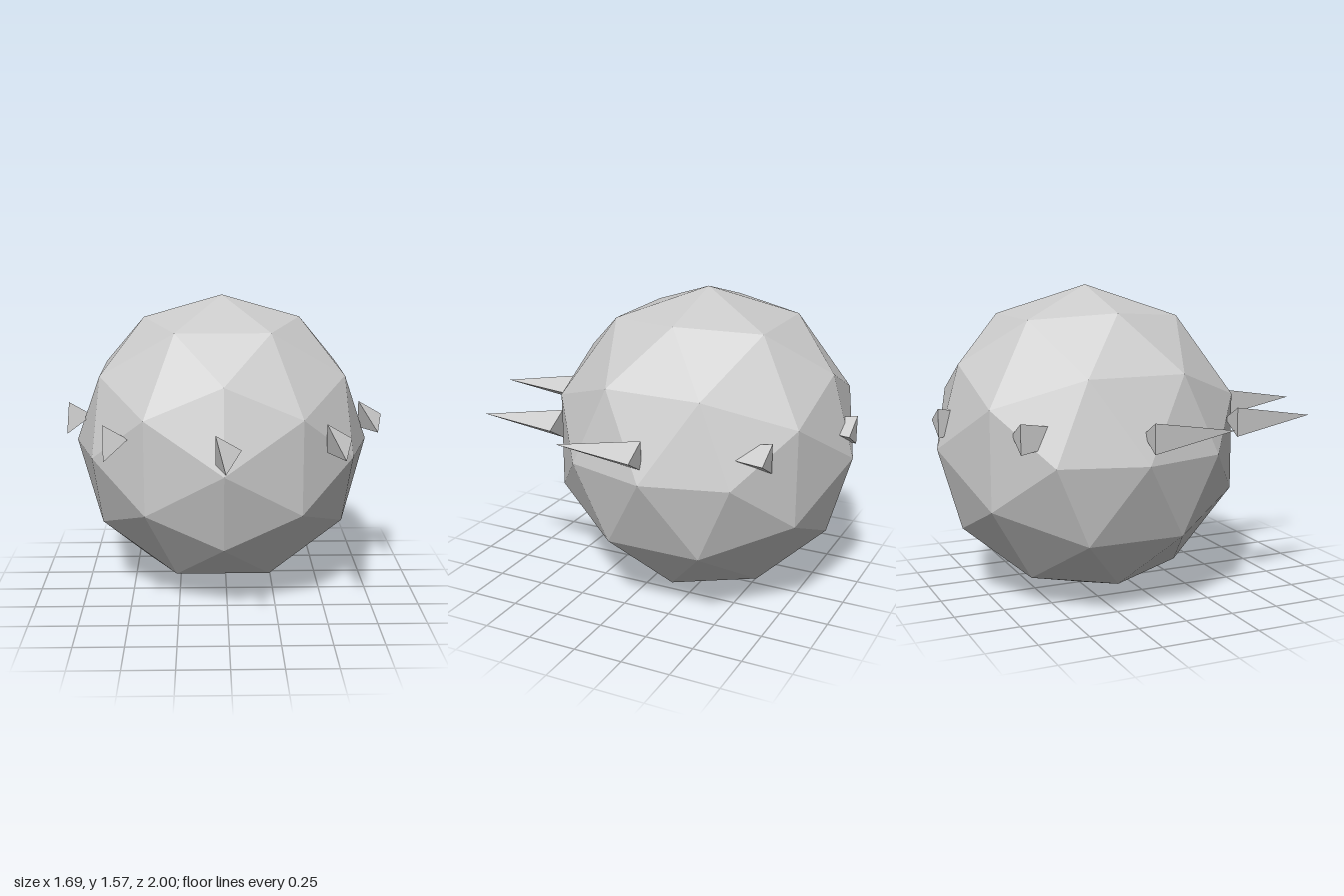
import * as THREE from 'three';

const RADIUS = 0.783;
const SPIKE_COUNT = 8;
const SPIKE_RADIUS = 0.083;
const SPIKE_LENGTH = 0.434;

export function createModel() {
  const group = new THREE.Group();
  const material = new THREE.MeshStandardMaterial({ color: 0xcccccc, flatShading: true });

  // Faceted ball
  const body = new THREE.Mesh(new THREE.IcosahedronGeometry(RADIUS, 1), material);
  body.name = 'body';
  body.position.set(-0.021, RADIUS, -0.217);
  group.add(body);

  // Three-sided spike: base at the origin, tip towards +z, one base corner towards +x
  const spikeGeometry = new THREE.ConeGeometry(SPIKE_RADIUS, SPIKE_LENGTH, 3)
    .translate(0, SPIKE_LENGTH / 2, 0)
    .rotateX(Math.PI / 2)
    .rotateZ(Math.PI / 2);

  // Ring of spikes just above the middle, all pointing forward
  const spikes = new THREE.Group();
  spikes.name = 'spikeRing';
  spikes.position.set(body.position.x, 0.917, body.position.z);
  for (let i = 0; i < SPIKE_COUNT; i++) {
    const angle = (i / SPIKE_COUNT) * Math.PI * 2;
    const spike = new THREE.Mesh(spikeGeometry, material);
    spike.name = `spike${i + 1}`;
    spike.position.set(Math.sin(angle) * RADIUS, 0, Math.cos(angle) * RADIUS);
    spikes.add(spike);
  }
  group.add(spikes);

  return group;
}
